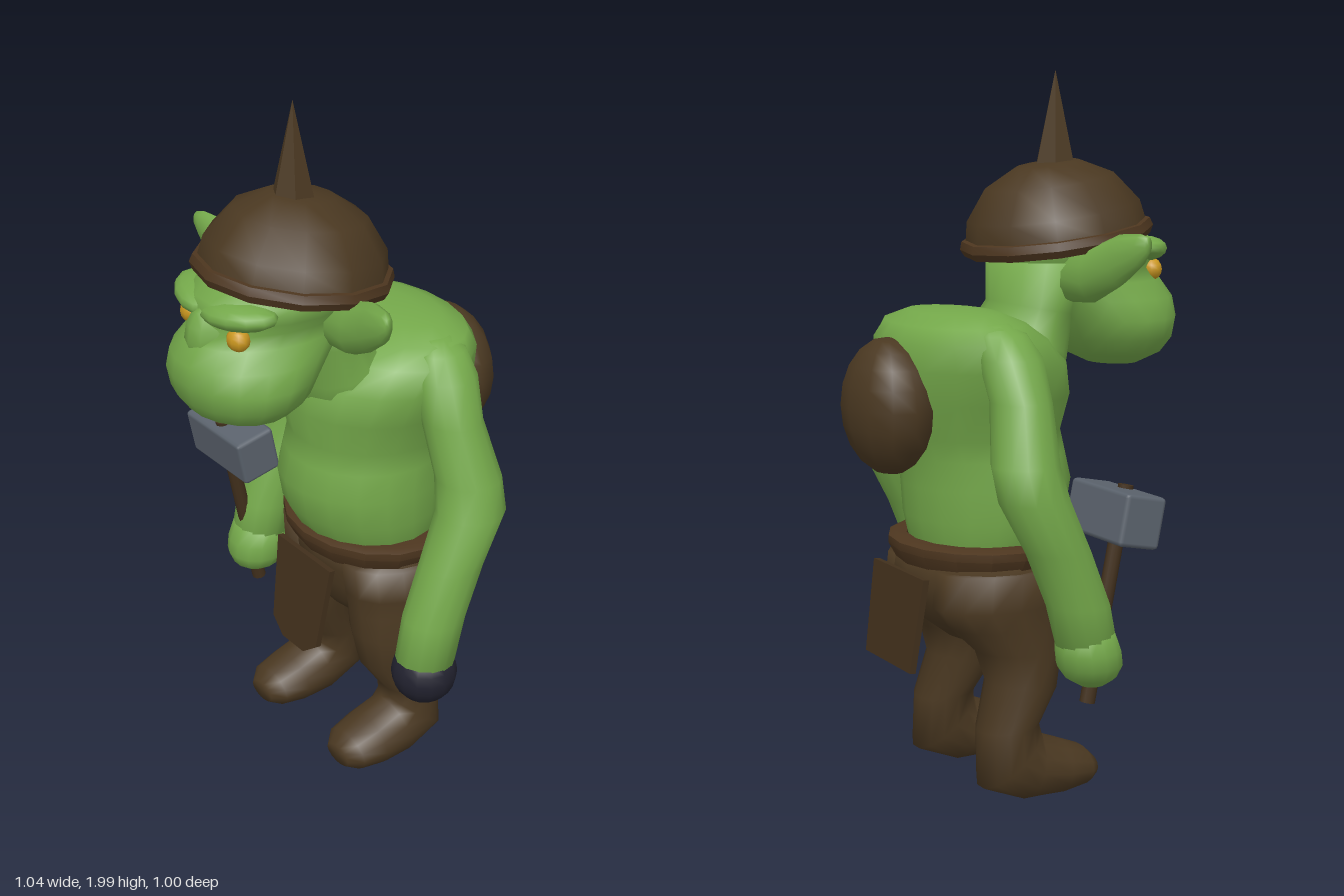
import * as THREE from 'three';
import { toCreasedNormals } from 'three/addons/utils/BufferGeometryUtils.js';
import { RoundedBoxGeometry } from 'three/addons/geometries/RoundedBoxGeometry.js';

const mat = (name, color) => {
  const m = new THREE.MeshStandardMaterial({ color });
  m.name = name;
  return m;
};

export function createModel() {
  const skin = mat('greenSkin', 0x74a84a);
  const cloth = mat('brownCloth', 0x4a3821);
  const leather = mat('darkLeather', 0x42301c);
  const trim = mat('beltBrown', 0x4d361f);
  const steel = mat('greySteel', 0x5b636d);
  const dark = mat('darkHand', 0x22222f);
  const amber = mat('amberEye', 0xc9961f);

  const root = new THREE.Group();
  root.name = 'hammerImp';
  const body = new THREE.Group();
  body.name = 'body';
  body.position.x = 0.022;
  root.add(body);

  const add = (name, geo, material, pos = [0, 0, 0], parent = body) => {
    const m = new THREE.Mesh(geo, material);
    m.name = name;
    m.position.set(...pos);
    parent.add(m);
    return m;
  };

  // Skin over oval rings [x, y, z, halfWidth, halfDepth, tilt], bottom to top
  const loft = (rings, n = 14) => {
    const pos = [], idx = [];
    for (const [x, y, z, w, d, t = 0] of rings) {
      for (let i = 0; i < n; i++) {
        const a = (i / n) * Math.PI * 2, s = d * Math.sin(a);
        pos.push(x + w * Math.cos(a), y - s * Math.sin(t), z + s * Math.cos(t));
      }
    }
    const last = (rings.length - 1) * n;
    for (let r = 0; r < last; r += n) {
      for (let i = 0; i < n; i++) {
        const j = (i + 1) % n;
        idx.push(r + i, r + n + i, r + j, r + j, r + n + i, r + n + j);
      }
    }
    const c = pos.length / 3;
    pos.push(...rings[0].slice(0, 3), ...rings[rings.length - 1].slice(0, 3));
    for (let i = 0; i < n; i++) {
      const j = (i + 1) % n;
      idx.push(c, i, j, c + 1, last + j, last + i);
    }
    const g = new THREE.BufferGeometry();
    g.setAttribute('position', new THREE.Float32BufferAttribute(pos, 3));
    g.setIndex(idx);
    g.computeVertexNormals();
    return g;
  };
  const ball = (rx, ry, rz, w = 14, h = 10) => new THREE.SphereGeometry(1, w, h).scale(rx, ry, rz);
  const lathe = (pts, n, crease) =>
    toCreasedNormals(new THREE.LatheGeometry(pts.map(p => new THREE.Vector2(...p)), n), crease);

  // Hunched torso and neck
  add('torso', loft([
    [0, 0.67, -0.105, 0.2, 0.18], [0, 0.73, -0.1, 0.224, 0.2],
    [0, 0.79, -0.09, 0.235, 0.225], [0, 0.88, -0.085, 0.24, 0.237],
    [0, 0.96, -0.098, 0.232, 0.232], [0, 1.02, -0.115, 0.23, 0.235],
    [0, 1.12, -0.118, 0.268, 0.26], [0, 1.21, -0.133, 0.297, 0.255],
    [0, 1.28, -0.162, 0.298, 0.22], [0, 1.325, -0.182, 0.265, 0.17],
    [0, 1.352, -0.185, 0.18, 0.108], [0, 1.36, -0.185, 0.08, 0.05]], 18), skin);
  add('neck', loft([
    [0, 1.14, -0.04, 0.2, 0.165, 0.5], [0, 1.26, 0.02, 0.175, 0.13, 0.4],
    [0, 1.35, 0.055, 0.155, 0.108, 0.2], [0, 1.48, 0.08, 0.17, 0.132, 0]]), skin);

  // Head: wide muzzle, sunken eye line, brow and crown
  add('head', loft([
    [0, 1.182, 0.33, 0.09, 0.07], [0, 1.215, 0.325, 0.165, 0.135],
    [0, 1.26, 0.317, 0.207, 0.175], [0, 1.315, 0.308, 0.22, 0.195],
    [0, 1.37, 0.277, 0.203, 0.222], [0, 1.42, 0.23, 0.178, 0.237],
    [0, 1.455, 0.205, 0.172, 0.232], [0, 1.49, 0.2, 0.198, 0.245],
    [0, 1.53, 0.195, 0.2, 0.235], [0, 1.6, 0.17, 0.17, 0.19]], 18), skin);
  add('noseBridge', ball(0.075, 0.11, 0.095, 12, 8), skin, [0, 1.42, 0.38]);

  // Helmet, tipped back
  const helmet = new THREE.Group();
  helmet.name = 'helmet';
  helmet.position.set(0, 1.54, 0.145);
  helmet.rotation.x = -0.15;
  body.add(helmet);
  add('helmetDome', lathe([[0, 0.01], [0.255, 0.01], [0.243, 0.075], [0.18, 0.16], [0.09, 0.207], [0, 0.215]], 12, 0.9),
    cloth, [0, 0, 0], helmet);
  add('helmetRim', lathe([[0.235, -0.02], [0.262, -0.02], [0.272, 0.0], [0.265, 0.022], [0.245, 0.025], [0.235, -0.02]], 12, 0.6),
    trim, [0, 0, 0], helmet);
  add('helmetSpike', toCreasedNormals(new THREE.ConeGeometry(0.06, 0.26, 6), 0.3), cloth, [0, 1.87, 0.14]);

  // Mirrored parts
  for (const s of [-1, 1]) {
    const side = s > 0 ? 'left' : 'right';
    add(side + 'Eye', ball(0.035, 0.032, 0.03, 10, 8), amber, [s * 0.108, 1.449, 0.392]);
    add(side + 'Brow', ball(0.112, 0.036, 0.065, 12, 8), skin, [s * 0.092, 1.506, 0.377]).rotation.set(0, s * 0.42, s * 0.08);

    const ear = add(side + 'Ear', loft([
      [-s * 1.43, 0.11, 0.11, 0.06, 0.06], [-s * 1.455, 0.24, 0.12, 0.076, 0.054],
      [-s * 1.497, 0.33, 0.14, 0.07, 0.038], [-s * 1.528, 0.405, 0.155, 0.044, 0.024],
      [-s * 1.543, 0.43, 0.163, 0.022, 0.012]], 10), skin);
    ear.rotation.z = -s * Math.PI / 2;

    add(side + 'Arm', loft([
      [s * 0.405, 0.46, 0, 0.083, 0.083], [s * 0.403, 0.6, -0.032, 0.085, 0.088],
      [s * 0.4, 0.75, -0.092, 0.086, 0.09], [s * 0.393, 0.89, -0.16, 0.093, 0.098],
      [s * 0.365, 0.98, -0.17, 0.092, 0.092], [s * 0.31, 1.14, -0.152, 0.088, 0.082],
      [s * 0.267, 1.25, -0.16, 0.085, 0.09], [s * 0.237, 1.31, -0.17, 0.06, 0.072],
      [s * 0.21, 1.335, -0.175, 0.03, 0.04]]), skin);
    if (s > 0) add('leftHand', ball(0.093, 0.093, 0.092), dark, [0.406, 0.433, 0]);
    else add('rightHand', loft([
      [-0.4, 0.372, 0.015, 0.035, 0.035], [-0.4, 0.395, 0.012, 0.07, 0.07],
      [-0.403, 0.43, 0.006, 0.09, 0.09], [-0.405, 0.47, 0, 0.09, 0.09], [-0.405, 0.53, -0.012, 0.08, 0.08]]), skin);

    // Leg from the toe, round the heel and up to the hip
    const x = s * 0.193;
    add(side + 'Leg', loft([
      [x, 0.065, 0.14, 0.05, 0.03, -1.5], [x, 0.072, 0.105, 0.085, 0.055, -1.5],
      [x, 0.08, 0.03, 0.098, 0.076, -1.45], [x, 0.095, -0.06, 0.096, 0.094, -1.3],
      [x, 0.132, -0.122, 0.092, 0.118, -0.7], [s * 0.185, 0.22, -0.122, 0.092, 0.088, -0.1],
      [s * 0.172, 0.33, -0.073, 0.105, 0.1, 0.1], [s * 0.163, 0.43, -0.075, 0.115, 0.125, 0],
      [s * 0.15, 0.5, -0.11, 0.126, 0.16, 0], [s * 0.145, 0.56, -0.13, 0.132, 0.19, 0],
      [s * 0.14, 0.66, -0.12, 0.135, 0.19, 0]]), cloth);
  }

  // Trousers seat and belt
  add('trouserSeat', loft([
    [0, 0.44, -0.1, 0.12, 0.1], [0, 0.5, -0.115, 0.22, 0.165],
    [0, 0.56, -0.13, 0.26, 0.195], [0, 0.62, -0.13, 0.265, 0.208], [0, 0.68, -0.125, 0.26, 0.205]], 16), cloth);
  const belt = add('belt', lathe([[0.22, 0.655], [0.25, 0.655], [0.278, 0.7], [0.278, 0.722], [0.255, 0.73], [0.22, 0.73], [0.22, 0.655]], 16, 0.6),
    trim, [0, 0, -0.118]);
  belt.scale.z = 0.845;

  // Loincloth flaps hanging from the belt
  const flap = (name, pts, z, tilt) => {
    const g = new THREE.ExtrudeGeometry(new THREE.Shape(pts.map(p => new THREE.Vector2(...p))), { depth: 0.018, bevelEnabled: false });
    add(name, g, leather, [0, 0.65, z]).rotation.x = tilt;
  };
  flap('frontFlap', [[-0.125, 0], [-0.105, -0.255], [-0.05, -0.297], [0.05, -0.297], [0.105, -0.255], [0.125, 0]], 0.1, -0.14);
  flap('backFlap', [[-0.15, 0], [-0.135, -0.26], [0.135, -0.26], [0.15, 0]], -0.36, 0.14);

  // Rounded pack on the back
  add('backPack', ball(0.17, 0.187, 0.118, 12, 10), cloth, [0, 1.105, -0.384]);

  // Hammer leaning forward in the right fist
  const hammer = new THREE.Group();
  hammer.name = 'hammer';
  hammer.position.set(-0.403, 0.325, 0.0);
  hammer.rotation.x = 0.2;
  body.add(hammer);
  add('hammerHandle', new THREE.CylinderGeometry(0.021, 0.021, 0.595, 10), leather, [0, 0.297, 0], hammer);
  add('hammerHead', new RoundedBoxGeometry(0.278, 0.14, 0.126, 1, 0.012), steel, [0, 0.515, -0.02], hammer);

  return root;
}
